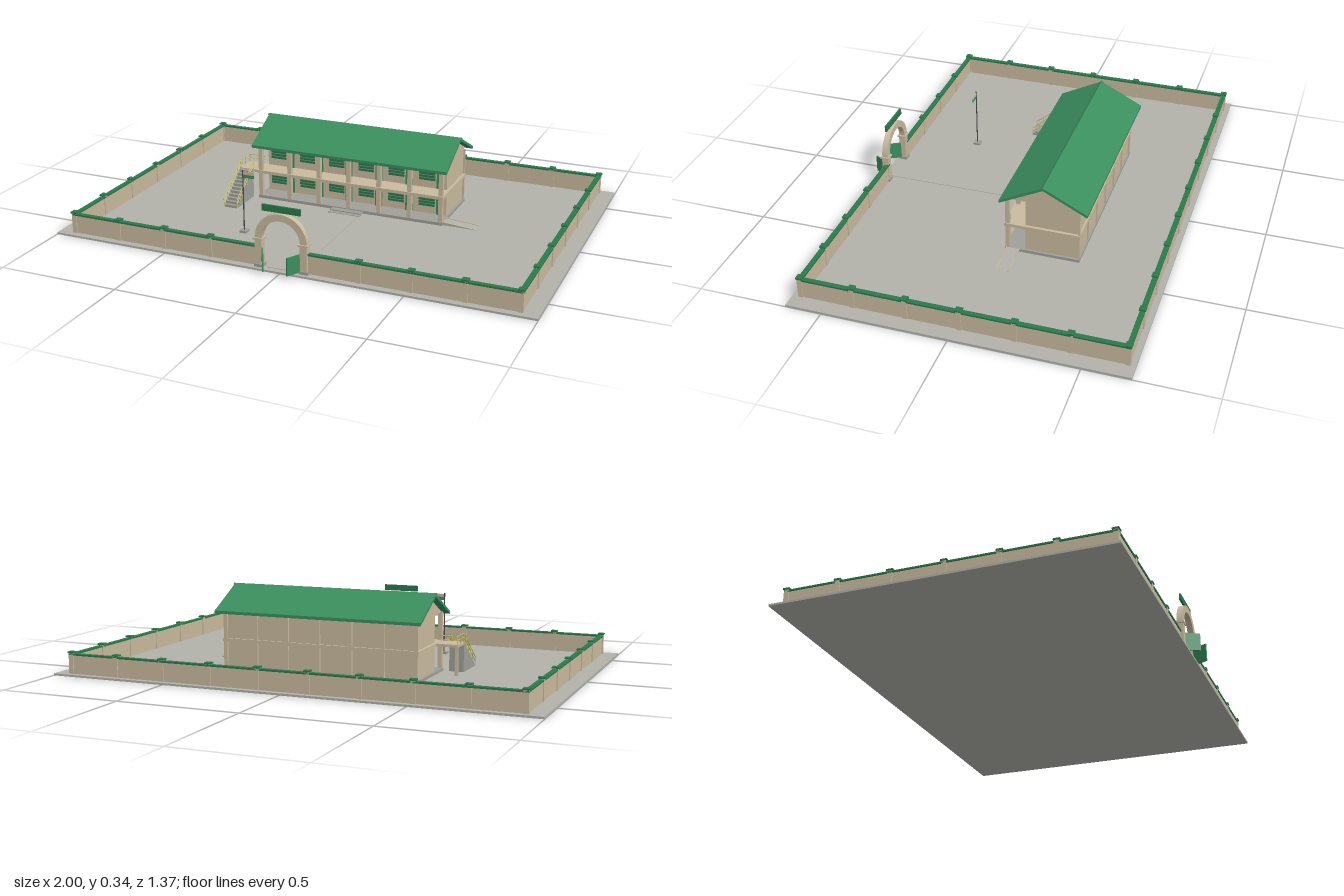
import * as THREE from 'three';

const mat = (name, color, side = THREE.FrontSide) => {
  const m = new THREE.MeshStandardMaterial({ color, side });
  m.name = name;
  return m;
};

export function createModel() {
  const root = new THREE.Group();
  root.name = 'walledSchoolyard';
  const ground = mat('paving grey', 0xb2b2aa);
  const concrete = mat('concrete grey', 0xa0a09a);
  const tan = mat('tan plaster', 0xc9bb9f);
  const green = mat('roof green', 0x3a8f5e);
  const darkGreen = mat('trim green', 0x2a7a4c);
  const yellow = mat('railing yellow', 0xc9c46a);
  const glass = mat('window grey', 0x8d9a94);
  const metal = mat('dark metal', 0x4a4a4a);

  const group = (name, parent = root) => {
    const g = new THREE.Group();
    g.name = name;
    parent.add(g);
    return g;
  };
  const add = (parent, name, geo, m) => {
    const mesh = new THREE.Mesh(geo, m);
    mesh.name = name;
    parent.add(mesh);
    return mesh;
  };
  // Box given by its limits on each axis
  const box = (parent, name, m, x0, x1, y0, y1, z0, z1) => {
    const mesh = add(parent, name, new THREE.BoxGeometry(x1 - x0, y1 - y0, z1 - z0), m);
    mesh.position.set((x0 + x1) / 2, (y0 + y1) / 2, (z0 + z1) / 2);
    return mesh;
  };
  // Thin round bar between two points
  const bar = (parent, name, m, a, b, r) => {
    const p = new THREE.Vector3(...a), q = new THREE.Vector3(...b);
    const mesh = add(parent, name, new THREE.CylinderGeometry(r, r, p.distanceTo(q), 8), m);
    mesh.position.copy(p).add(q).multiplyScalar(0.5);
    mesh.quaternion.setFromUnitVectors(new THREE.Vector3(0, 1, 0), q.sub(p).normalize());
  };
  // Side profile of [z, y] points, extruded along x
  const profileX = (parent, name, m, pts, x0, x1) => {
    const shape = new THREE.Shape(pts.map(([z, y]) => new THREE.Vector2(-z, y)));
    const geo = new THREE.ExtrudeGeometry(shape, { depth: x1 - x0, bevelEnabled: false });
    geo.rotateY(Math.PI / 2).translate(x0, 0, 0);
    return add(parent, name, geo, m);
  };

  const G = 0.008;
  box(root, 'groundSlab', ground, -1, 1, 0, G, -0.685, 0.645);
  box(root, 'entrancePath', ground, -0.065, 0.065, G, G + 0.002, 0.02, 0.62);

  // Perimeter wall: plaster panels, green coping and capped posts
  const wall = group('perimeterWall');
  const XW = 0.93, ZF = 0.61, ZB = -0.655, T = 0.006, C = 0.01;
  const run = (x0, x1, z0, z1) => {
    box(wall, 'wallPanel', tan, x0 - T, x1 + T, G, 0.083, z0 - T, z1 + T);
    box(wall, 'wallCoping', darkGreen, x0 - C, x1 + C, 0.083, 0.09, z0 - C, z1 + C);
  };
  const post = (x, z) => {
    box(wall, 'wallPost', tan, x - 0.01, x + 0.01, G, 0.092, z - 0.01, z + 0.01);
    box(wall, 'postCap', darkGreen, x - 0.013, x + 0.013, 0.092, 0.098, z - 0.013, z + 0.013);
  };
  run(-XW, XW, ZB, ZB);
  for (const s of [-1, 1]) {
    run(s * XW, s * XW, ZB, ZF);
    run(s < 0 ? -XW : 0.107, s < 0 ? -0.107 : XW, ZF, ZF);
    for (let i = 1; i < 6; i++) post(s * XW, ZB + (ZF - ZB) * i / 6);
  }
  for (let i = 0; i <= 9; i++) {
    const x = -XW + 2 * XW * i / 9;
    post(x, ZB);
    if (i !== 4 && i !== 5) post(x, ZF);
  }

  // Gateway: pillars, half-round arch, sign board and open leaves
  const gate = group('gateway');
  const arch = new THREE.Shape();
  arch.absarc(0, 0, 0.108, 0, Math.PI, false);
  arch.absarc(0, 0, 0.08, Math.PI, 0, true);
  add(gate, 'arch', new THREE.ExtrudeGeometry(arch, { depth: 0.024, bevelEnabled: false, curveSegments: 24 }), tan)
    .position.set(0, 0.127, 0.603);
  for (const s of [-1, 1]) {
    const x = s * 0.094;
    box(gate, 'gatePillar', tan, x - 0.014, x + 0.014, G, 0.122, 0.601, 0.629);
    box(gate, 'pillarCap', tan, x - 0.02, x + 0.02, 0.12, 0.128, 0.597, 0.633);
    box(gate, 'pillarBase', concrete, x - 0.018, x + 0.018, G, 0.02, 0.598, 0.632);
    const leaf = box(gate, 'gateLeaf', green, -0.003, 0.003, 0.015, 0.088, 0, 0.066);
    leaf.geometry.translate(0, 0, 0.033);
    leaf.position.set(s * 0.08, 0.0515, 0.622);
    leaf.rotation.y = -s * 0.48;
  }
  box(gate, 'signBoard', darkGreen, -0.08, 0.08, 0.238, 0.264, 0.611, 0.619);

  // Two-storey building: rooms behind an open front gallery
  const hall = group('building');
  const X = 0.41, FRONT = -0.11, BACK = -0.325, bays = 6, step = 2 * X / bays;
  box(hall, 'plinth', concrete, -0.42, 0.42, G, 0.02, -0.332, -0.026);
  box(hall, 'rooms', tan, -X, X, 0.02, 0.245, BACK, FRONT);
  box(hall, 'upperFloor', tan, -0.422, 0.422, 0.122, 0.135, -0.333, -0.024);
  box(hall, 'frontBeam', tan, -0.418, 0.418, 0.234, 0.25, -0.046, -0.03);
  box(hall, 'galleryCeiling', tan, -X, X, 0.245, 0.25, -0.34, -0.03);
  for (let i = 0; i <= bays; i++) {
    const x = -X + i * step;
    box(hall, 'galleryColumn', tan, x - 0.009, x + 0.009, 0.02, 0.245, -0.046, -0.029);
    box(hall, 'backPilaster', tan, x - 0.008, x + 0.008, 0.02, 0.245, -0.332, BACK);
  }
  for (const y of [0.02, 0.135]) {
    for (let i = 0; i < bays; i++) {
      const x = -X + i * step;
      // Louvred window and door in every bay
      box(hall, 'windowPane', glass, x + 0.018, x + 0.084, y + 0.033, y + 0.08, FRONT, FRONT + 0.002);
      for (let k = 0; k < 4; k++) {
        const ly = y + 0.033 + k * 0.0125;
        box(hall, 'windowLouvre', darkGreen, x + 0.016, x + 0.086, ly, ly + 0.009, FRONT, FRONT + 0.005);
      }
      box(hall, 'door', green, x + 0.093, x + 0.124, y, y + 0.082, FRONT, FRONT + 0.004);
    }
  }

  // Gabled roof: plaster gable, two slopes, ridge cap
  const roof = group('roof');
  const ZR = -0.1875;
  profileX(roof, 'gable', tan, [[-0.03, 0.25], [-0.345, 0.25], [ZR, 0.331]], -X, X);
  for (const s of [-1, 1]) {
    const pts = [[ZR, 0.329], [ZR + s * 0.178, 0.239], [ZR + s * 0.178, 0.251], [ZR, 0.341]];
    profileX(roof, 'roofSlope', green, s > 0 ? pts : pts.reverse(), -0.44, 0.44);
  }
  profileX(roof, 'ridgeCap', green, [[ZR - 0.009, 0.337], [ZR + 0.009, 0.337], [ZR, 0.344]], -0.444, 0.444);

  // Outside stair with landing and yellow handrails
  const stair = group('outsideStair');
  const SX0 = -0.51, SX1 = -0.443, steps = 11, run0 = 0.13, run1 = -0.03;
  const pts = [[run0, G]];
  for (let i = 0; i < steps; i++) {
    const y = G + (0.128 - G) * (i + 1) / steps;
    pts.push([run0 + (run1 - run0) * i / steps, y], [run0 + (run1 - run0) * (i + 1) / steps, y]);
  }
  pts.push([run1, G]);
  profileX(stair, 'stairFlight', concrete, pts, SX0 + 0.003, SX1 - 0.003);
  box(stair, 'landing', tan, SX0, -0.42, 0.122, 0.133, -0.12, run1);
  box(stair, 'landingPost', tan, SX0, SX0 + 0.012, G, 0.122, -0.12, -0.108);
  for (const x of [SX0 + 0.003, SX1 - 0.003]) {
    for (const h of [0.02, 0.037]) {
      bar(stair, 'stairRail', yellow, [x, G + h, run0], [x, 0.13 + h, run1], 0.0018);
    }
    for (let i = 0; i <= 5; i++) {
      const z = run0 + (run1 - run0) * i / 5, y = G + (0.13 - G) * i / 5;
      bar(stair, 'railPost', yellow, [x, y, z], [x, y + 0.038, z], 0.002);
    }
  }
  for (const y of [0.15, 0.167]) {
    bar(stair, 'landingRail', yellow, [SX0 + 0.003, y, run1], [SX0 + 0.003, y, -0.118], 0.0018);
    bar(stair, 'landingEndRail', yellow, [SX0 + 0.003, y, -0.118], [-0.43, y, -0.118], 0.0018);
  }
  for (const z of [-0.075, -0.118]) {
    bar(stair, 'landingRailPost', yellow, [SX0 + 0.003, 0.13, z], [SX0 + 0.003, 0.168, z], 0.002);
  }

  // Front steps and side ramp
  for (let i = 0; i < 2; i++) {
    box(root, 'frontStep', concrete, -0.07, 0.07, G, 0.012 + i * 0.004, -0.026, 0.02 - i * 0.02);
  }
  const ramp = group('sideRamp');
  const slope = new THREE.Shape([[0.42, G], [0.56, G], [0.42, 0.02]].map(p => new THREE.Vector2(...p)));
  add(ramp, 'rampSurface', new THREE.ExtrudeGeometry(slope, { depth: 0.05, bevelEnabled: false }), ground)
    .position.z = -0.085;
  for (const z of [-0.086, -0.034]) {
    bar(ramp, 'rampCurb', tan, [0.42, 0.022, z], [0.56, 0.01, z], 0.002);
  }

  // Flagpole on a square base
  const flag = group('flagpole');
  box(flag, 'flagBase', concrete, -0.315, -0.285, G, 0.018, 0.33, 0.36);
  bar(flag, 'pole', metal, [-0.3, 0.01, 0.345], [-0.3, 0.275, 0.345], 0.0025);
  box(flag, 'flagUpper', tan, -0.298, -0.25, 0.257, 0.27, 0.344, 0.346);
  box(flag, 'flagLower', green, -0.298, -0.25, 0.244, 0.257, 0.344, 0.346);
  return root;
}
